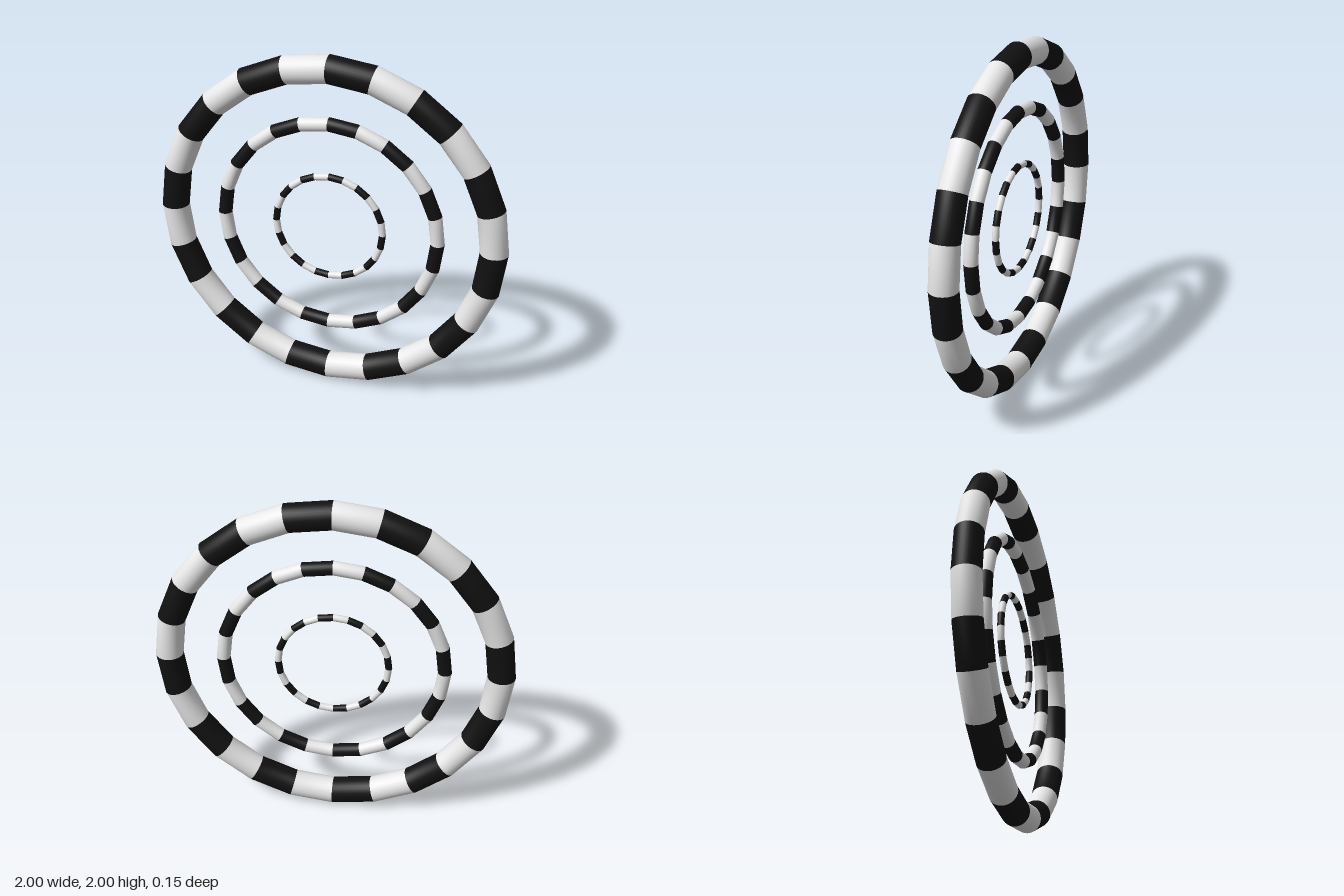
import * as THREE from 'three';

const SEGMENTS = 24;
const STEP = (Math.PI * 2) / SEGMENTS;

const white = new THREE.MeshStandardMaterial({ color: 0xffffff });
white.name = 'white';
const black = new THREE.MeshStandardMaterial({ color: 0x111111 });
black.name = 'black';

// One striped ring made of straight torus segments in alternating colours
function stripedRing(name, radius, tube) {
  const ring = new THREE.Group();
  ring.name = name;
  const segment = new THREE.TorusGeometry(radius, tube, 32, 1, STEP);
  for (let i = 0; i < SEGMENTS; i++) {
    const dark = i % 2 === 1;
    const mesh = new THREE.Mesh(segment, dark ? black : white);
    mesh.name = dark ? 'blackStripe' : 'whiteStripe';
    mesh.rotation.z = i * STEP;
    ring.add(mesh);
  }
  ring.position.y = 1;
  return ring;
}

export function createModel() {
  const model = new THREE.Group();
  model.name = 'concentricRings';
  // Three concentric upright rings, thinner toward the centre
  model.add(
    stripedRing('outerRing', 12 / 13, 1 / 13),
    stripedRing('middleRing', 8 / 13, 0.5 / 13),
    stripedRing('innerRing', 4 / 13, 0.25 / 13)
  );
  return model;
}
